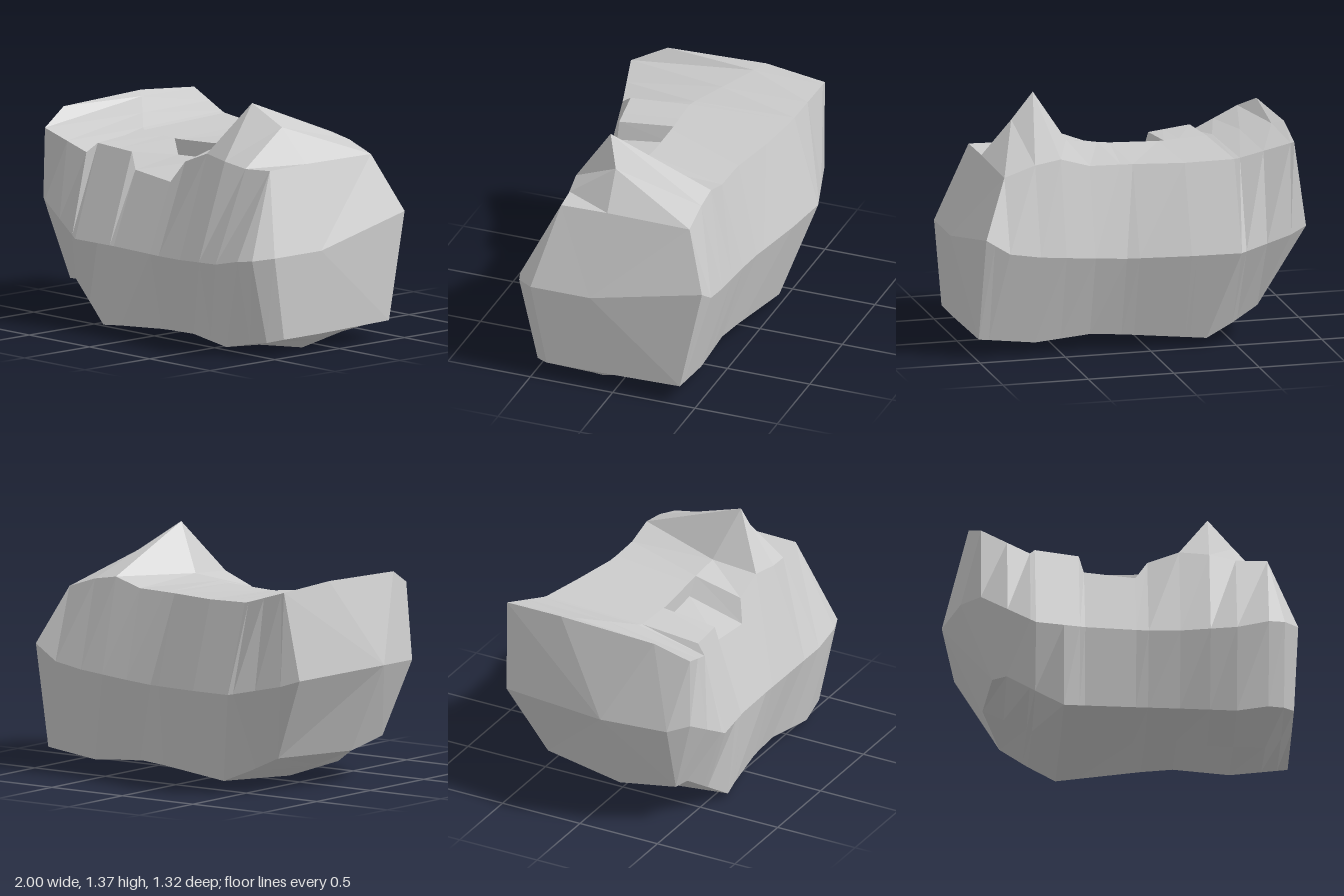
import * as THREE from 'three';

// Rails run along the boulder from -x to +x; each is a short polyline of [x, y, z]
const underside = [[-.77, .19, .13], [-.32, 0, .13], [-.02, 0, .13], [.29, .04, .13], [.52, 0, .13], [.84, 0, .13], [.98, .1, .13]];
const frontFoot = [[-.73, .23, .47], [-.65, .24, .5], [-.33, .03, .585], [-.05, .05, .53], [.3, .06, .5], [.66, .03, .55], [.83, .07, .53], [.91, .08, .5], [.98, .1, .41]];
const frontBelly = [[-.91, .675, .51], [-.8, .685, .6], [-.49, .51, .655], [-.16, .5, .61], [.25, .49, .605], [.65, .515, .63], [.83, .555, .63], [.92, .565, .6], [1, .58, .5]];
const frontShoulder = [[-.86, 1.19, .4], [-.8, 1.1, .6], [-.52, .99, .54], [-.49, 1.04, .48], [-.24, 1.02, .45], [-.21, .92, .45], [.08, .89, .45], [.15, 1.01, .4], [.33, 1.08, .4], [.5, 1.06, .42], [.65, 1.035, .4], [.83, 1.045, .38]];
const crest = [[-.86, 1.21, -.2], [-.5, 1.07, .12], [-.21, 1.055, .12], [.1, 1.07, .11], [.33, 1.1, .12], [.5, 1.37, .21], [.65, 1.24, .12], [.83, 1.05, .1]];
const backShoulder = [[-.82, 1.185, -.57], [-.5, 1.09, -.5], [-.2, 1.075, -.455], [.1, 1.075, -.4], [.33, 1.08, -.4], [.5, 1.13, -.4], [.65, 1.105, -.4], [.83, 1.045, -.4]];
const backBelly = [[-.9, .68, -.53], [-.82, .65, -.57], [-.49, .58, -.66], [-.16, .57, -.61], [.2, .56, -.53], [.65, .6, -.53], [.83, .63, -.53], [.97, .72, -.53]];
const backFoot = [[-.65, .2, -.4], [-.35, .05, -.49], [.3, .1, -.4], [.65, .07, -.4], [.98, .11, -.4]];

const stations = [-1, -.8, -.65, -.52, -.49, -.33, -.24, -.21, .08, .15, .33, .5, .65, .83, .92, 1];

// Point of a rail at x, held at the rail's ends
function sample(rail, x) {
  const last = rail.length - 1;
  if (x <= rail[0][0]) return new THREE.Vector3(...rail[0]);
  if (x >= rail[last][0]) return new THREE.Vector3(...rail[last]);
  const k = rail.findIndex(p => p[0] >= x);
  const a = rail[k - 1], b = rail[k];
  return new THREE.Vector3(...a).lerp(new THREE.Vector3(...b), (x - a[0]) / (b[0] - a[0]));
}

// Closed cross-section: bottom, up the front, over the top, down the back
function section(x) {
  const ring = [underside, frontFoot, frontBelly, frontShoulder, crest, crest, backShoulder, backBelly, backFoot]
    .map(rail => sample(rail, x));
  // Inner edge of the notch floor sinks below the crest
  if (x > -.22 && x < .1) ring[4].y -= .09;
  return ring;
}

export function createModel() {
  const positions = [];
  const triangle = new THREE.Triangle();
  const addTriangle = (a, b, c) => {
    triangle.set(a, b, c);
    if (triangle.getArea() > 1e-6) for (const p of [a, b, c]) positions.push(p.x, p.y, p.z);
  };

  const rings = stations.map(section);
  const count = rings[0].length;

  // Skin between neighbouring sections
  for (let i = 0; i < rings.length - 1; i++) {
    for (let j = 0; j < count; j++) {
      const k = (j + 1) % count;
      const a = rings[i][j], b = rings[i + 1][j], c = rings[i + 1][k], d = rings[i][k];
      addTriangle(a, b, c);
      addTriangle(a, c, d);
    }
  }

  // Bulging ends, fanned round a centre point
  const leftTip = new THREE.Vector3(-1, .7, .13);
  const rightTip = new THREE.Vector3(1, .58, .14);
  const first = rings[0], final = rings[rings.length - 1];
  for (let j = 0; j < count; j++) {
    const k = (j + 1) % count;
    addTriangle(leftTip, first[j], first[k]);
    addTriangle(rightTip, final[k], final[j]);
  }

  const geometry = new THREE.BufferGeometry();
  geometry.setAttribute('position', new THREE.Float32BufferAttribute(positions, 3));
  geometry.computeVertexNormals();

  const boulder = new THREE.Mesh(geometry, new THREE.MeshStandardMaterial({ color: 0xcccccc, flatShading: true }));
  boulder.name = 'boulder';
  const group = new THREE.Group();
  group.name = 'rock';
  group.add(boulder);
  return group;
}
